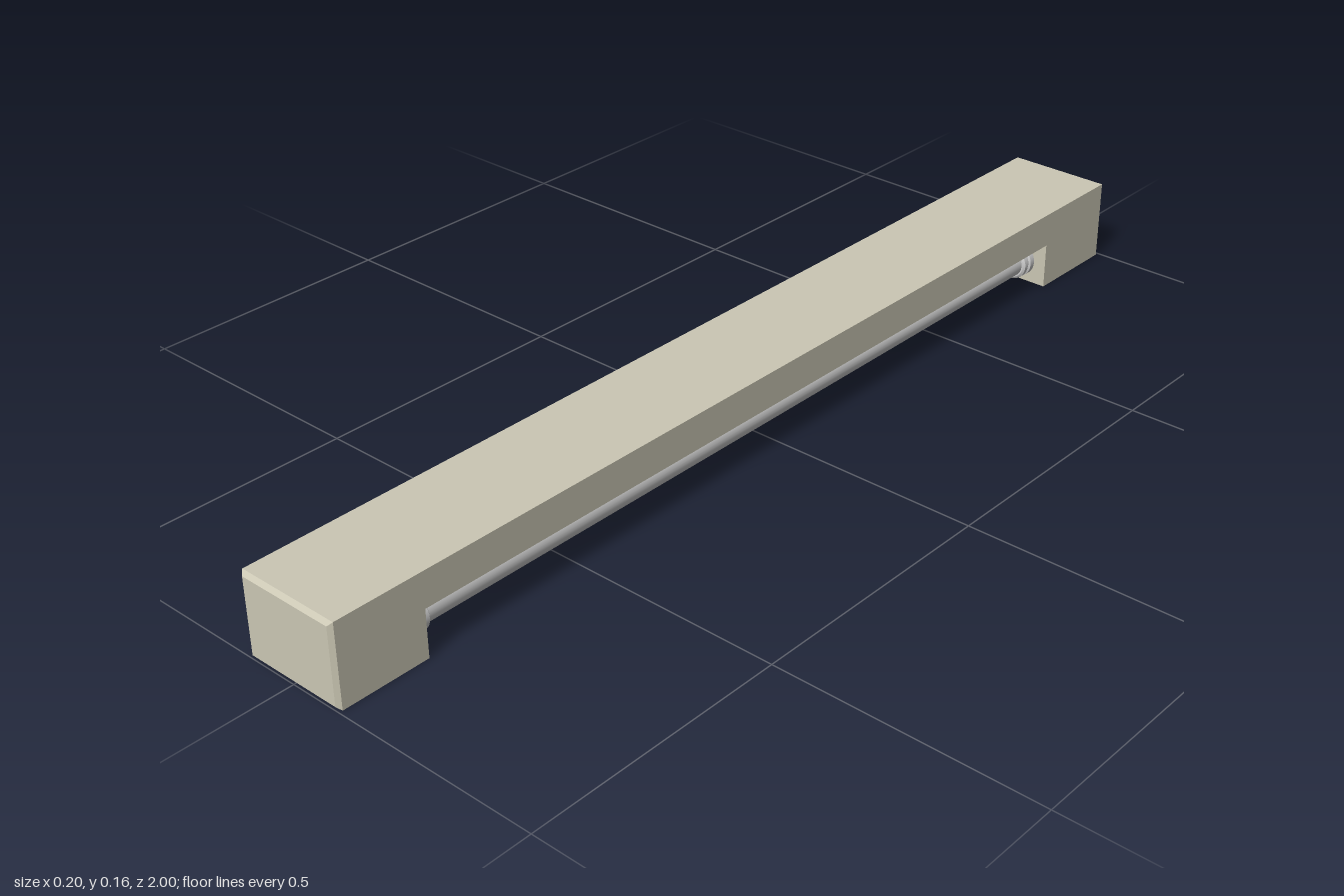
import * as THREE from 'three';

const W = 0.205, H = 0.157, BEVEL = 0.007;      // housing section and end bevel
const FRONT = 0.825, BACK = -0.803;             // inner faces of the end blocks
const CEILING = 0.09, TUBE_Y = 0.045, TUBE_X = 0.042;

const cream = new THREE.MeshStandardMaterial({ color: 0xcbc7b4 });
const grey = new THREE.MeshStandardMaterial({ color: 0xcccccc });

function add(parent, name, geometry, material) {
  const mesh = new THREE.Mesh(geometry, material);
  mesh.name = name;
  parent.add(mesh);
  return mesh;
}

// Side outline of the beam and its two end blocks, extruded across the width
function housingGeometry() {
  const e = 1 - BEVEL;
  const outline = [[e, 0], [e, H], [-e, H], [-e, 0], [BACK, 0], [BACK, CEILING], [FRONT, CEILING], [FRONT, 0]];
  const shape = new THREE.Shape(outline.map(([z, y]) => new THREE.Vector2(-z, y)));
  return new THREE.ExtrudeGeometry(shape, { depth: W, bevelEnabled: false })
    .translate(0, 0, -W / 2)
    .rotateY(Math.PI / 2);
}

// Thin end plate whose outer face is drawn in to form a bevel
function endPlateGeometry() {
  const g = new THREE.BoxGeometry(W, H, BEVEL).toNonIndexed();
  const p = g.attributes.position;
  for (let i = 0; i < p.count; i++) {
    if (p.getZ(i) > 0) {
      p.setX(i, p.getX(i) - Math.sign(p.getX(i)) * BEVEL);
      p.setY(i, p.getY(i) - Math.sign(p.getY(i)) * BEVEL);
    }
  }
  g.computeVertexNormals();
  return g;
}

// Stepped round lamp holder, base at y = 0; doubled points keep edges crisp
function socketGeometry() {
  const profile = [
    [0, 0], [0.035, 0], [0.035, 0], [0.035, 0.012], [0.035, 0.012],
    [0.031, 0.014], [0.031, 0.014], [0.031, 0.018], [0.031, 0.018],
    [0.034, 0.02], [0.034, 0.02], [0.034, 0.029], [0.034, 0.029],
    [0.03, 0.032], [0.03, 0.032], [0, 0.032],
  ];
  return new THREE.LatheGeometry(profile.map(([r, y]) => new THREE.Vector2(r, y)), 32);
}

export function createModel() {
  const model = new THREE.Group();
  model.name = 'twinTubeLight';

  add(model, 'housing', housingGeometry(), cream);

  for (const side of [1, -1]) {
    const plate = add(model, side > 0 ? 'frontEndPlate' : 'backEndPlate', endPlateGeometry(), cream);
    plate.position.set(0, H / 2, side * (1 - BEVEL / 2));
    if (side < 0) plate.rotation.y = Math.PI;
  }

  // Two lamps, each a tube held between two sockets
  for (const side of [1, -1]) {
    const lamp = new THREE.Group();
    lamp.name = side > 0 ? 'leftLamp' : 'rightLamp';
    lamp.position.set(side * TUBE_X, TUBE_Y, 0);
    model.add(lamp);

    const tube = add(lamp, 'tube', new THREE.CylinderGeometry(0.027, 0.027, FRONT - BACK - 0.04, 32), grey);
    tube.rotation.x = Math.PI / 2;
    tube.position.z = (FRONT + BACK) / 2;

    const front = add(lamp, 'frontSocket', socketGeometry(), grey);
    front.rotation.x = -Math.PI / 2;
    front.position.z = FRONT;

    const back = add(lamp, 'backSocket', socketGeometry(), grey);
    back.rotation.x = Math.PI / 2;
    back.position.z = BACK;
  }
  return model;
}
